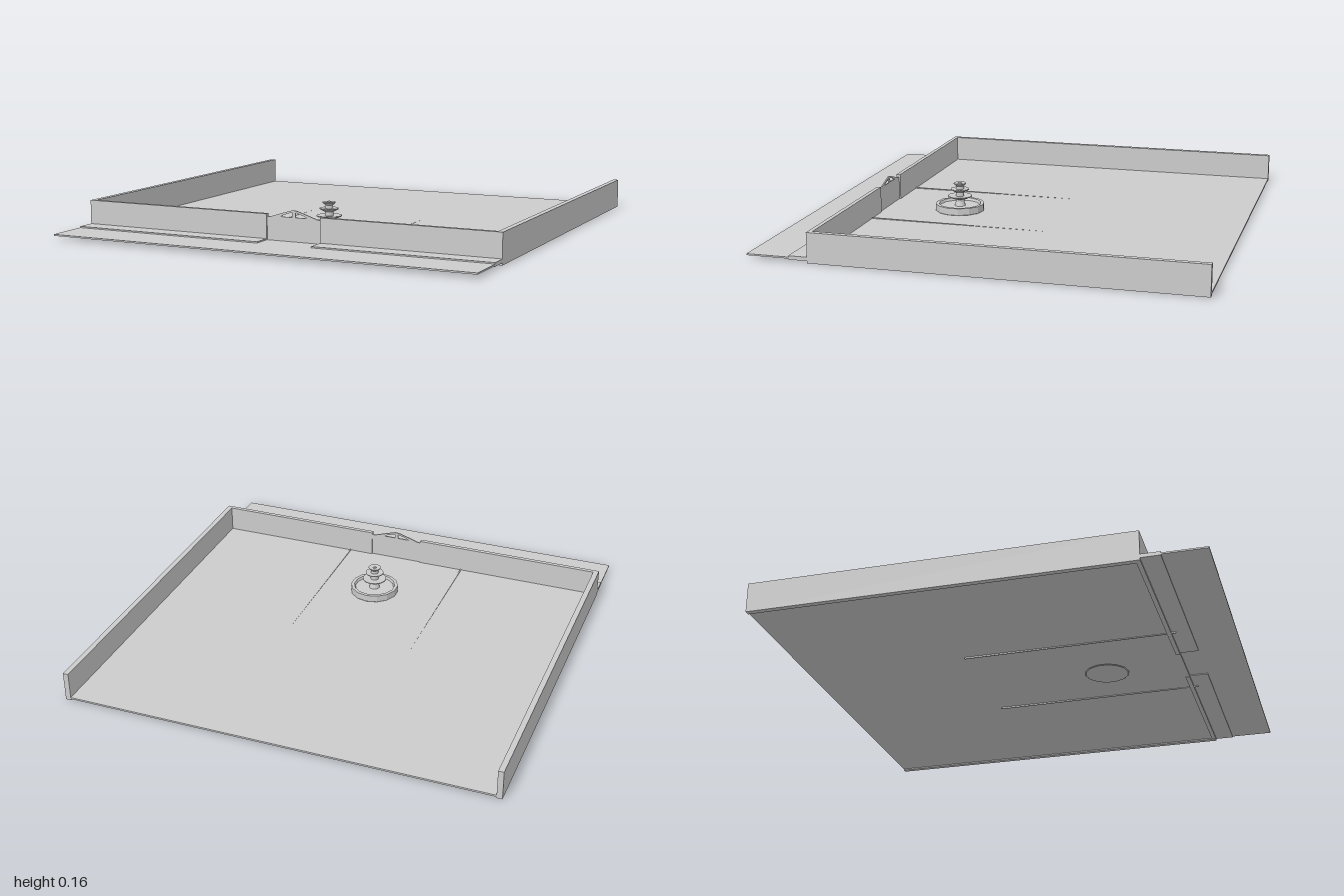
import * as THREE from 'three';

const material = new THREE.MeshStandardMaterial({ color: 0xcccccc, flatShading: true, side: THREE.DoubleSide });

function add(parent, geometry, name) {
  const mesh = new THREE.Mesh(geometry, material);
  mesh.name = name;
  parent.add(mesh);
  return mesh;
}

// Box given by its minimum and maximum on each axis
function addBox(parent, name, [x0, x1], [y0, y1], [z0, z1]) {
  const mesh = add(parent, new THREE.BoxGeometry(x1 - x0, y1 - y0, z1 - z0), name);
  mesh.position.set((x0 + x1) / 2, (y0 + y1) / 2, (z0 + z1) / 2);
  return mesh;
}

const GATE = [-0.08, 0.18];

function createGate() {
  const gate = new THREE.Group();
  gate.name = 'gate';
  // Panel topped by a low, open gable
  const panel = new THREE.Shape([
    [-0.13, 0.015], [0.13, 0.015], [0.13, 0.128], [0.115, 0.128], [0.05, 0.149],
    [0.01, 0.161], [-0.01, 0.161], [-0.05, 0.149], [-0.115, 0.128], [-0.13, 0.128],
  ].map(([x, y]) => new THREE.Vector2(x, y)));
  for (const s of [-1, 1]) {
    panel.holes.push(new THREE.Path([
      [s * 0.009, 0.131], [s * 0.065, 0.131], [s * 0.048, 0.14], [s * 0.009, 0.152],
    ].map(([x, y]) => new THREE.Vector2(x, y))));
  }
  add(gate, new THREE.ExtrudeGeometry(panel, { depth: 0.006, bevelEnabled: false }), 'gatePanel');
  gate.position.set(0.05, 0, 0.706);
  return gate;
}

function createFountain() {
  const fountain = new THREE.Group();
  fountain.name = 'fountain';
  const lathe = (points, name, sides) => add(fountain,
    new THREE.LatheGeometry(points.map(([r, y]) => new THREE.Vector2(r, y)), sides), name);
  // Wide basin with a raised rim
  lathe([[0, 0.007], [0.1, 0.007], [0.116, 0.02], [0.116, 0.052], [0.1, 0.052], [0.095, 0.04], [0, 0.04]], 'basin', 14);
  // Column and three shrinking bowls
  lathe([[0.026, 0.04], [0.02, 0.06], [0.018, 0.14]], 'column', 14);
  for (const [r, y] of [[0.058, 0.085], [0.044, 0.118], [0.03, 0.146]]) {
    lathe([[0.012, y - 0.014], [r * 0.6, y - 0.01], [r, y], [r, y + 0.004], [r * 0.8, y + 0.004], [0, y + 0.001]], 'bowl', 14);
  }
  lathe([[0.012, 0.14], [0.008, 0.152], [0, 0.156]], 'finial', 10);
  fountain.position.set(0.04, 0, 0.352);
  return fountain;
}

export function createModel() {
  const model = new THREE.Group();
  model.name = 'walledCourtyard';

  // Ground
  addBox(model, 'courtyardFloor', [-0.98, 0.98], [0.01, 0.018], [-1, 0.72]);
  addBox(model, 'forecourt', [-1, 1], [0.018, 0.025], [0.71, 1]);

  // Side walls, and the front wall and kerb on each side of the gate
  for (const s of [-1, 1]) {
    const outer = s, inner = s > 0 ? GATE[1] : GATE[0];
    const span = [Math.min(outer, inner), Math.max(outer, inner)];
    const side = s > 0 ? [0.975, 1] : [-1, -0.975];
    addBox(model, 'sideWall', side, [0.004, 0.14], [-1, 0.72]);
    addBox(model, 'frontWall', span, [0.006, 0.14], [0.7, 0.72]);
    addBox(model, 'kerb', span, [0.014, 0.031], [0.72, 0.805]);

    // Slender path edging, sloping slightly through the floor
    const edging = addBox(model, 'pathEdging', [s * 0.3 - 0.003, s * 0.3 + 0.003], [0.005, 0.02], [-0.24, 0.74]);
    edging.rotation.x = -0.005;
  }

  model.add(createGate(), createFountain());
  return model;
}
